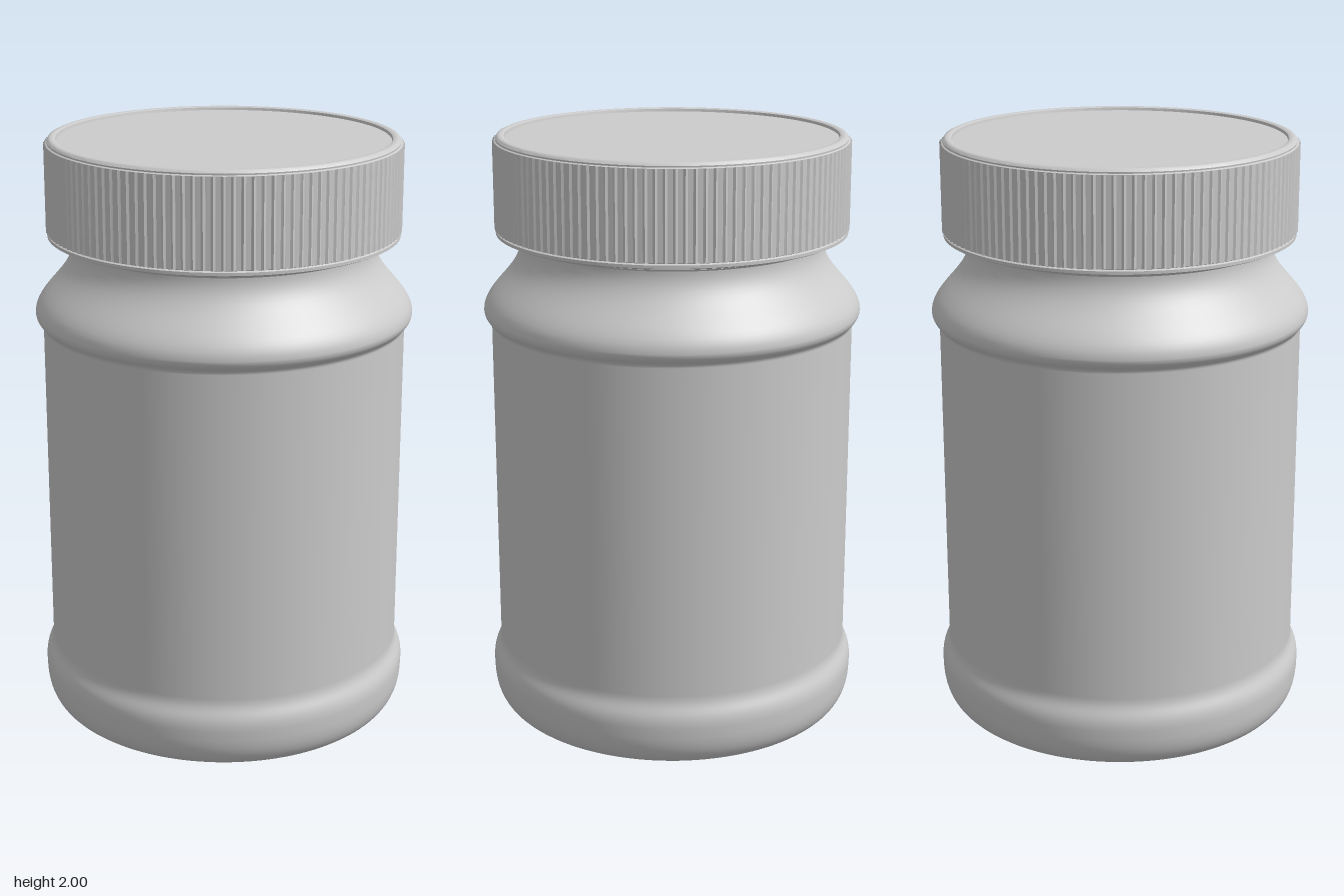
import * as THREE from 'three';
import { toCreasedNormals } from 'three/addons/utils/BufferGeometryUtils.js';

const RIBS = 120;
const material = new THREE.MeshStandardMaterial({ color: 0xcccccc });

function part(name, geometry) {
  const mesh = new THREE.Mesh(geometry, material);
  mesh.name = name;
  return mesh;
}

// Lathe from [radius, height] pairs with sharp corners
function turned(pairs, segments = 128) {
  const points = pairs.map(([r, y]) => new THREE.Vector2(r, y));
  return toCreasedNormals(new THREE.LatheGeometry(points, segments), 0.6);
}

// Jar outline from the middle of the base up to the mouth
function jarGeometry() {
  const p = new THREE.Path();
  p.moveTo(0, 0.045);
  p.lineTo(0.385, 0.04);
  p.bezierCurveTo(0.42, 0.035, 0.42, 0, 0.47, 0);
  p.lineTo(0.52, 0);
  p.bezierCurveTo(0.59, 0, 0.63, 0.04, 0.63, 0.14);
  p.bezierCurveTo(0.635, 0.21, 0.605, 0.21, 0.605, 0.26);
  p.lineTo(0.605, 1.37);
  p.bezierCurveTo(0.605, 1.39, 0.628, 1.39, 0.63, 1.42);
  p.bezierCurveTo(0.63, 1.49, 0.505, 1.55, 0.505, 1.645);
  p.lineTo(0.505, 1.94);
  p.lineTo(0.48, 1.94);
  return new THREE.LatheGeometry(p.getPoints(14), 128);
}

// Gripping band: an open cylinder whose radius swells at every rib
function ribbedBand(radius, depth, y0, y1) {
  const g = new THREE.CylinderGeometry(radius, radius, y1 - y0, RIBS * 6, 1, true);
  const pos = g.attributes.position;
  for (let i = 0; i < pos.count; i++) {
    const a = Math.atan2(pos.getX(i), pos.getZ(i));
    const r = radius + depth * Math.max(0, Math.cos(a * RIBS));
    pos.setXYZ(i, r * Math.sin(a), pos.getY(i), r * Math.cos(a));
  }
  g.translate(0, (y0 + y1) / 2, 0);
  return toCreasedNormals(g, 0.9);
}

export function createModel() {
  const model = new THREE.Group();
  model.name = 'screwTopJar';

  model.add(part('jarBody', jarGeometry()));

  // Bead round the neck just under the lid
  model.add(part('neckBead', turned([
    [0.5, 1.652], [0.518, 1.654], [0.522, 1.66], [0.518, 1.667], [0.5, 1.669],
  ])));

  const lid = new THREE.Group();
  lid.name = 'lid';

  // Hollow lid shell: ceiling, inner wall, lower rim, skirt, upper rim, sunken top
  lid.add(part('lidShell', turned([
    [0, 1.955], [0.54, 1.955], [0.545, 1.7], [0.555, 1.675],
    [0.573, 1.673], [0.584, 1.678], [0.584, 1.688], [0.577, 1.692],
    [0.577, 1.982], [0.578, 1.99], [0.573, 1.997], [0.566, 2],
    [0.555, 2], [0.549, 1.997], [0.547, 1.988], [0, 1.988],
  ])));

  lid.add(part('lidRibs', ribbedBand(0.581, 0.007, 1.694, 1.982)));

  // Flat ledges closing the ribbed band
  lid.add(part('ribLedges', turned([
    [0.574, 1.69], [0.583, 1.694], [0.583, 1.982], [0.574, 1.987],
  ])));

  model.add(lid);
  return model;
}
